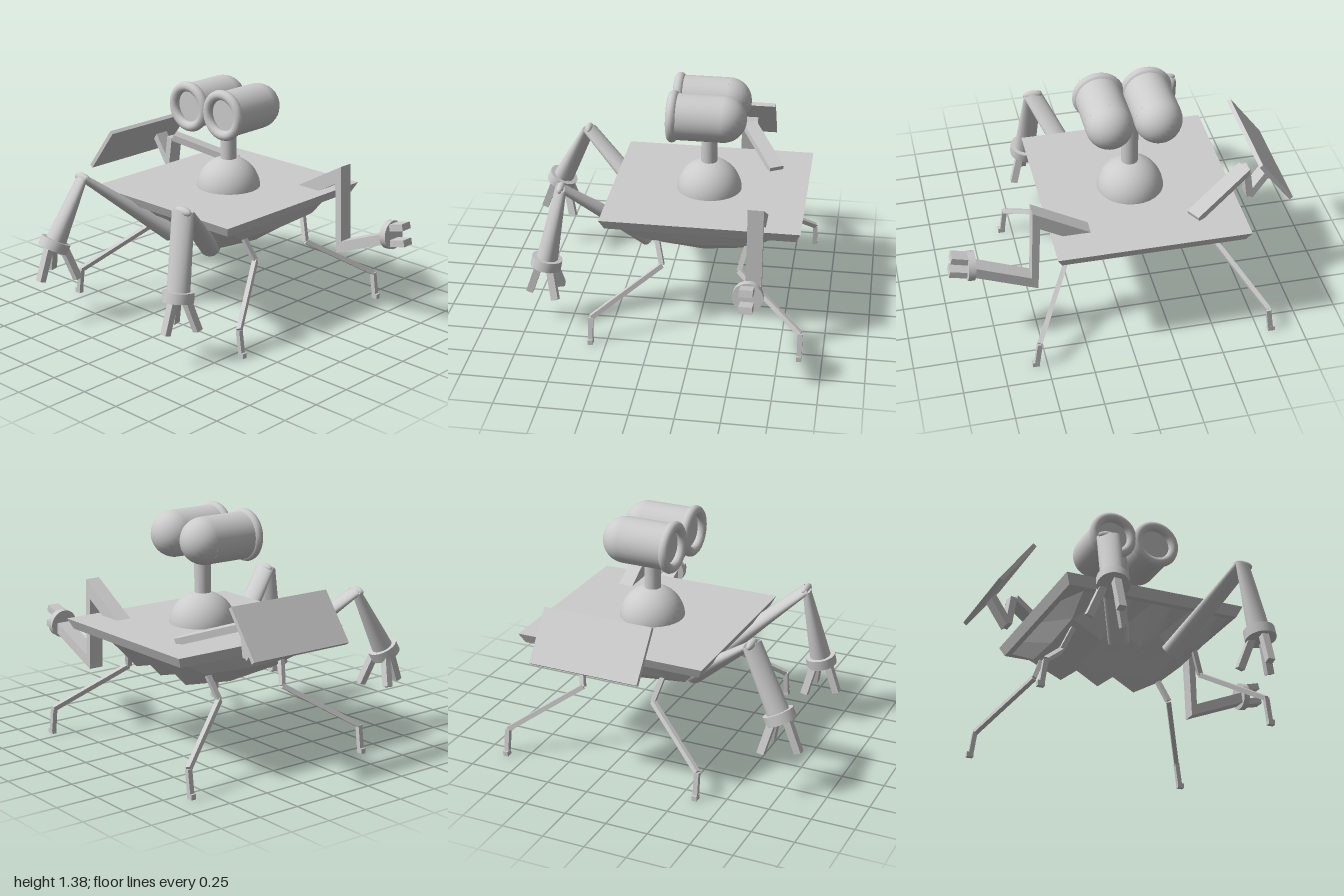
import * as THREE from 'three';

const mat = new THREE.MeshStandardMaterial({ color: 0xcccccc });
const flat = new THREE.MeshStandardMaterial({ color: 0xcccccc, flatShading: true, side: THREE.DoubleSide });
const V = (p) => new THREE.Vector3(...p);

export function createModel() {
  const model = new THREE.Group();
  const CX = -0.13, CZ = -0.265;

  function add(name, geo, pos = [0, 0, 0], material = mat, parent = model) {
    const m = new THREE.Mesh(geo, material);
    m.name = name;
    m.position.set(...pos);
    parent.add(m);
    return m;
  }
  function group(name) {
    const g = new THREE.Group();
    g.name = name;
    model.add(g);
    return g;
  }
  // Places a y-aligned geometry between a and b; side is the rough direction of its x axis
  function span(geo, a, b, side) {
    const y = V(b).sub(V(a)).normalize();
    const z = V(side).cross(y).normalize();
    const x = y.clone().cross(z);
    const mid = V(a).add(V(b)).multiplyScalar(0.5);
    return geo.applyMatrix4(new THREE.Matrix4().makeBasis(x, y, z).setPosition(mid));
  }
  const dist = (a, b) => V(a).distanceTo(V(b));
  const beam = (a, b, w, t, side = [1, 0, 0]) => span(new THREE.BoxGeometry(w, dist(a, b), t), a, b, side);
  // Round limb, flattened in depth by a different amount at each end
  function limb(a, b, r, depthA, depthB, side) {
    const L = dist(a, b);
    const g = new THREE.CylinderGeometry(r, r, L, 24);
    const p = g.attributes.position;
    for (let i = 0; i < p.count; i++) {
      p.setZ(i, p.getZ(i) / r * THREE.MathUtils.lerp(depthA, depthB, p.getY(i) / L + 0.5));
    }
    g.computeVertexNormals();
    return span(g, a, b, side);
  }

  // Deck with bevelled rim
  const deck = new THREE.BoxGeometry(1.1, 0.06, 1.15);
  const dp = deck.attributes.position;
  for (let i = 0; i < dp.count; i++) {
    if (dp.getY(i) < 0) dp.setXYZ(i, dp.getX(i) * 0.95, dp.getY(i), dp.getZ(i) * 0.95);
  }
  add('deck', deck, [CX, 0.698, CZ], flat);

  // Pleated belly lofted from zigzag sections along z
  const pleats = [[-0.49, 0], [-0.42, 0.12], [-0.24, 0.24], [-0.12, 0.13], [0, 0.24],
    [0.12, 0.13], [0.24, 0.24], [0.42, 0.12], [0.49, 0]];
  const stations = [[0.24, 0], [0.07, 0.86], [-0.26, 1], [-0.57, 0.86], [-0.77, 0]];
  const pos = [], idx = [], n = pleats.length;
  stations.forEach(([z, k], j) => pleats.forEach(([x, d], i) => {
    pos.push(CX + x, 0.67 - d * k, z);
    if (i && j) {
      const a = (j - 1) * n + i - 1, b = a + 1, c = a + n, d2 = c + 1;
      idx.push(a, c, b, b, c, d2);
    }
  }));
  const belly = new THREE.BufferGeometry();
  belly.setAttribute('position', new THREE.Float32BufferAttribute(pos, 3));
  belly.setIndex(idx);
  belly.computeVertexNormals();
  add('belly', belly, [0, 0, 0], flat);

  // Dome, neck and eyes
  add('neckDome', new THREE.SphereGeometry(0.193, 32, 12, 0, Math.PI * 2, 0, Math.PI / 2), [-0.115, 0.715, -0.26]);
  add('neck', new THREE.CylinderGeometry(0.048, 0.048, 0.35, 24), [-0.112, 1.04, -0.257]);
  for (const x of [-0.25, 0.028]) {
    const eye = group('eye');
    eye.position.set(x, 1.232, 0);
    add('eyeBarrel', new THREE.CylinderGeometry(0.135, 0.135, 0.28, 32).rotateX(Math.PI / 2), [0, 0, -0.215], mat, eye);
    add('eyeBack', new THREE.SphereGeometry(0.135, 32, 16), [0, 0, -0.352], mat, eye);
    add('eyeRim', new THREE.TorusGeometry(0.121, 0.03, 12, 40), [0, 0, -0.062], mat, eye);
  }

  // Four thin walking legs
  for (const sx of [-1, 1]) {
    for (const sz of [-1, 1]) {
      const leg = group('walkingLeg');
      const pts = [[0.37, 0.58, 0.27], [0.44, 0.41, 0.225], [0.67, 0.16, 0.605], [0.69, 0.015, 0.605]]
        .map(([x, y, z]) => [CX + sx * x, y, CZ + sz * z]);
      for (let i = 0; i < 3; i++) add('legSegment', beam(pts[i], pts[i + 1], 0.028, 0.028), [0, 0, 0], mat, leg);
      add('foot', new THREE.BoxGeometry(0.04, 0.03, 0.03), [CX + sx * 0.695, 0.015, CZ + sz * 0.605], mat, leg);
    }
  }

  // Two round front arms, each with a cuff and three fingers
  const arms = [
    { name: 'leftFrontArm', shoulder: [0.06, 0.46, 0.08], elbow: [0.305, 0.865, 0.545], wrist: [0.352, 0.4, 0.635],
      tips: [[0.355, 0.2, 0.74], [0.44, 0.2, 0.57], [0.255, 0.2, 0.57]] },
    { name: 'rightFrontArm', shoulder: [-0.265, 0.47, 0.08], elbow: [-0.53, 0.87, 0.545], wrist: [-0.577, 0.49, 0.735],
      tips: [[-0.575, 0.29, 0.85], [-0.685, 0.3, 0.67], [-0.475, 0.28, 0.65]] },
  ];
  for (const { name, shoulder, elbow, wrist, tips } of arms) {
    const arm = group(name);
    const o = [0, 0, 0];
    const down = V(wrist).sub(V(elbow)).normalize();
    const side = V(elbow).sub(V(shoulder)).cross(down).normalize().toArray();
    add('upperArm', limb(shoulder, elbow, 0.062, 0.055, 0.022, side), o, mat, arm);
    add('elbow', new THREE.SphereGeometry(0.06, 20, 12).scale(1, 0.45, 0.4), elbow, mat, arm);
    add('forearm', limb(elbow, wrist, 0.066, 0.025, 0.065, side), o, mat, arm);
    const end = (k) => V(wrist).addScaledVector(down, k).toArray();
    add('cuff', limb(end(-0.03), end(0.03), 0.09, 0.09, 0.09, side), o, mat, arm);
    for (const tip of tips) {
      const root = V(wrist).lerp(V([tip[0], wrist[1], tip[2]]), 0.35).toArray();
      add('finger', beam(root, tip, 0.042, 0.042), o, mat, arm);
    }
  }

  // Left rear arm: one bent slab with a cuff and two prongs
  const grip = group('leftRearArm');
  const outline = [[0.19, 0.725], [0.52, 0.915], [0.535, 0.45], [0.86, 0.585], [0.88, 0.525],
    [0.5, 0.37], [0.48, 0.8], [0.33, 0.715]].map((p) => new THREE.Vector2(...p));
  const slab = new THREE.ExtrudeGeometry(new THREE.Shape(outline), { depth: 0.09, bevelEnabled: false });
  add('bentArm', slab, [0, 0, -0.64], flat, grip);
  const cuff = add('cuff', new THREE.CylinderGeometry(0.085, 0.085, 0.04, 28), [0.872, 0.572, -0.595], mat, grip);
  cuff.rotation.z = -Math.PI / 2 + 0.1;
  add('prong', beam([0.87, 0.62, -0.593], [0.98, 0.65, -0.593], 0.075, 0.04, [0, 0, 1]), [0, 0, 0], mat, grip);
  add('prong', beam([0.87, 0.525, -0.593], [0.995, 0.555, -0.593], 0.075, 0.04, [0, 0, 1]), [0, 0, 0], mat, grip);

  // Right rear arm carrying a tilted panel
  const carrier = group('rightRearArm');
  const path = [[-0.395, 0.735, -0.635], [-0.75, 0.865, -0.43], [-0.775, 0.69, -0.43], [-0.885, 0.855, -0.43]];
  for (let i = 0; i < 3; i++) {
    add('armSegment', beam(path[i], path[i + 1], 0.09, 0.04, i ? [0, 0, 1] : [0.5, 0, 0.87]), [0, 0, 0], mat, carrier);
  }
  add('panel', beam([-0.985, 0.727, -0.257], [-0.79, 0.987, -0.257], 0.66, 0.025, [0, 0, 1]), [0, 0, 0], mat, carrier);

  return model;
}
